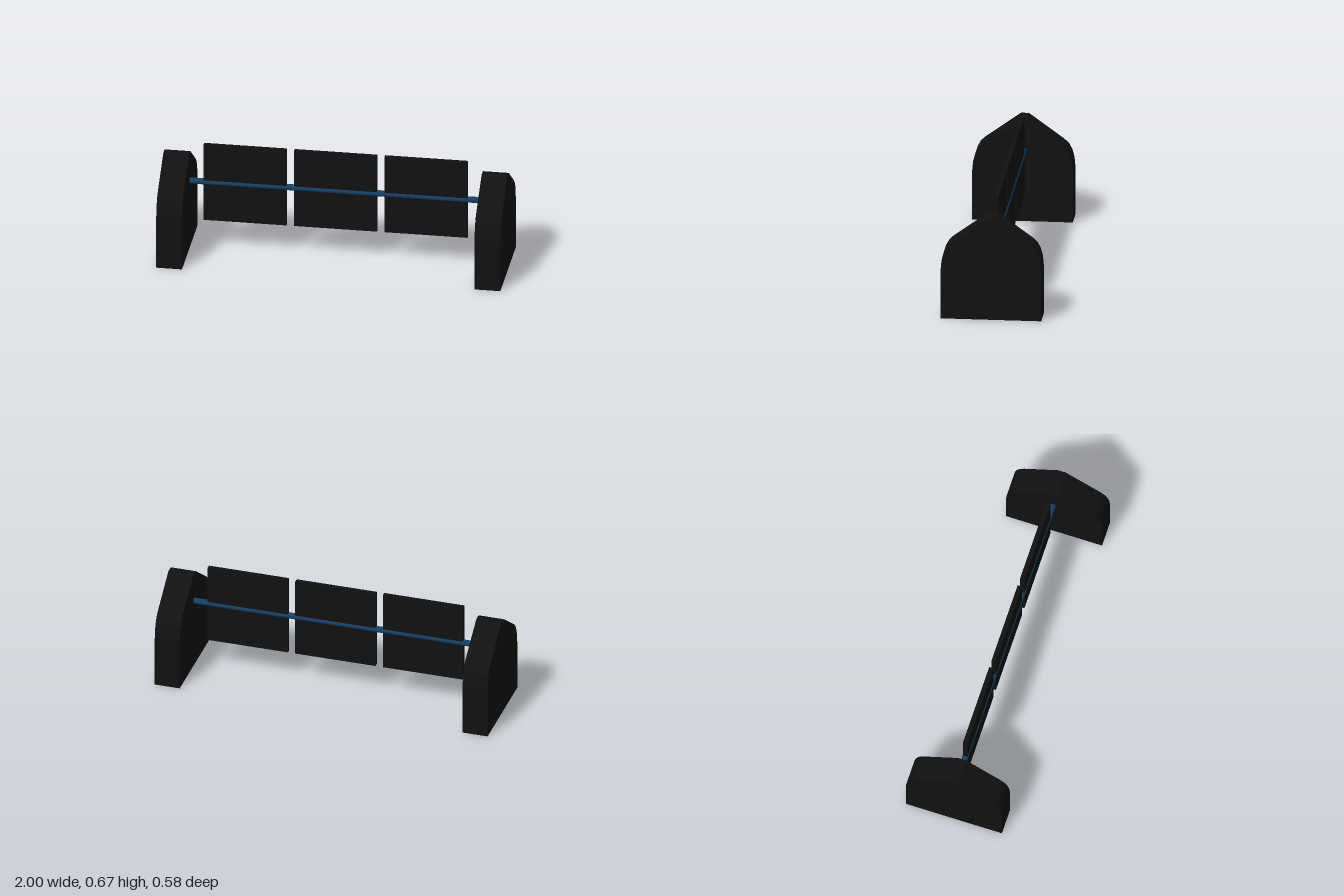
import * as THREE from 'three';

const black = new THREE.MeshStandardMaterial({ color: 0x111111 });
const blue = new THREE.MeshStandardMaterial({ color: 0x153f63 });

const MID_Z = -0.0065; // plane of the panels and the rod

// Half of the end block outline: [z, y] from the base up to the flat peak
const HALF = [[0.29, 0], [0.29, 0.3], [0.285, 0.352], [0.274, 0.394],
  [0.255, 0.43], [0.229, 0.455], [0.023, 0.605]];

function add(group, name, geometry, material, x, y, z) {
  const mesh = new THREE.Mesh(geometry, material);
  mesh.name = name;
  mesh.position.set(x, y, z);
  group.add(mesh);
  return mesh;
}

export function createModel() {
  const group = new THREE.Group();
  group.name = 'panelBarrier';

  // End blocks: pointed outline extruded along x
  const outline = [...HALF, ...HALF.map(([z, y]) => [-z, y]).reverse()];
  const shape = new THREE.Shape(outline.map(([z, y]) => new THREE.Vector2(z, y)));
  const thickness = 0.15;
  const endGeometry = new THREE.ExtrudeGeometry(shape, { depth: thickness, bevelEnabled: false });
  endGeometry.translate(0, 0, -thickness / 2).rotateY(Math.PI / 2);
  for (const side of [-1, 1]) {
    add(group, side > 0 ? 'leftEndBlock' : 'rightEndBlock', endGeometry, black,
      side * (1 - thickness / 2), 0, 0);
  }

  // Three square panels hung in a row
  const panelGeometry = new THREE.BoxGeometry(0.482, 0.48, 0.026);
  for (const i of [-1, 0, 1]) {
    add(group, `panel${i + 2}`, panelGeometry, black, -0.002 + i * 0.526, 0.426, MID_Z);
  }

  // Rod running through the panels between the end blocks
  const rodGeometry = new THREE.CylinderGeometry(0.018, 0.018, 1.72, 16).rotateZ(Math.PI / 2);
  add(group, 'rod', rodGeometry, blue, 0, 0.426, MID_Z);

  return group;
}
